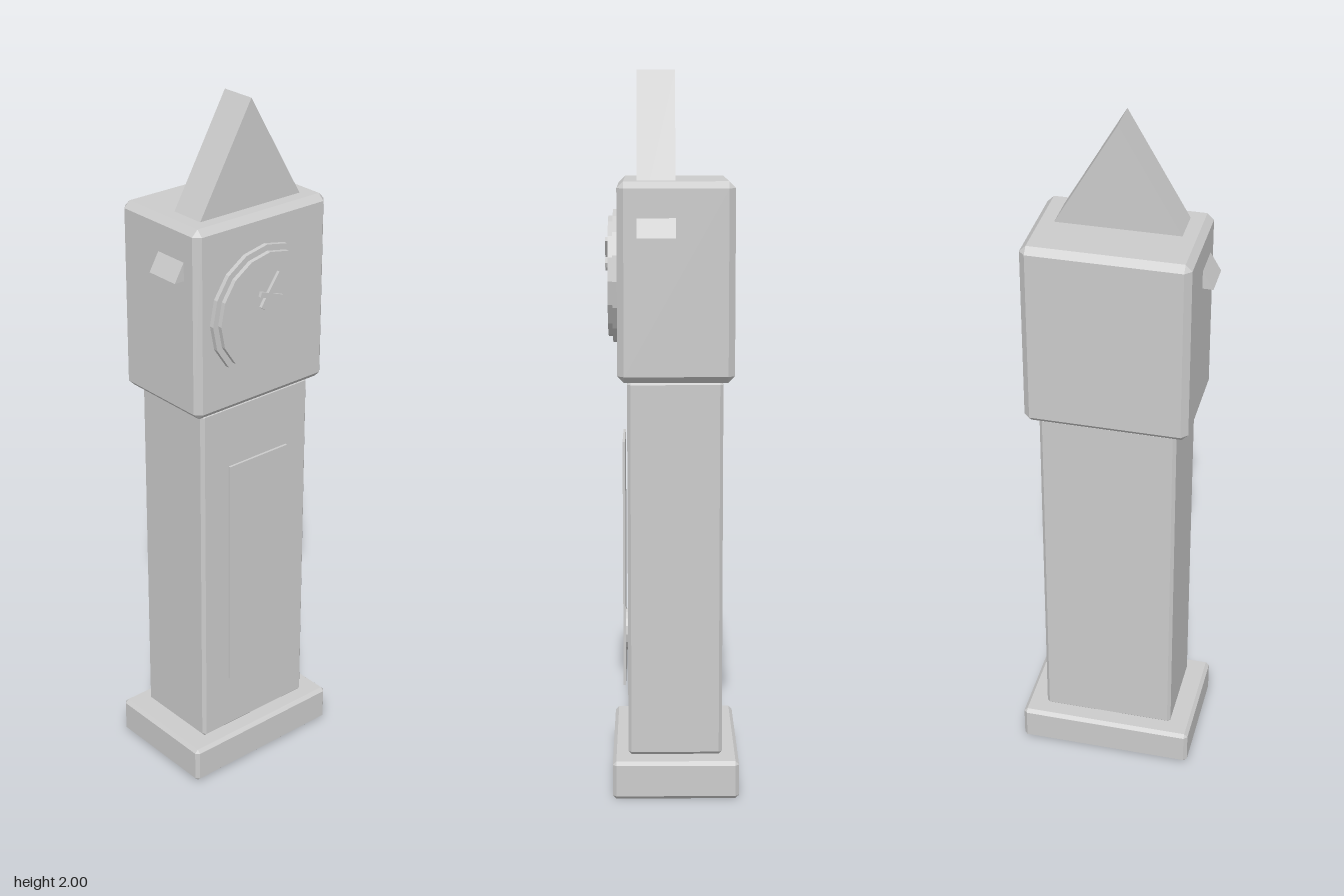
import * as THREE from 'three';
import { ConvexGeometry } from 'three/addons/geometries/ConvexGeometry.js';

const grey = new THREE.MeshStandardMaterial({ color: 0xcccccc, flatShading: true });

// Box with all edges cut at 45 degrees, given by its extents
function chamferBox(x, y0, y1, z0, z1, c) {
  const w = x, h = (y1 - y0) / 2, d = (z1 - z0) / 2;
  const points = [];
  for (const sx of [-1, 1]) for (const sy of [-1, 1]) for (const sz of [-1, 1]) {
    points.push(
      new THREE.Vector3(sx * w, sy * (h - c), sz * (d - c)),
      new THREE.Vector3(sx * (w - c), sy * h, sz * (d - c)),
      new THREE.Vector3(sx * (w - c), sy * (h - c), sz * d)
    );
  }
  return new ConvexGeometry(points).translate(0, (y0 + y1) / 2, (z0 + z1) / 2);
}

// Disc facing the front
function disc(radius, y, z0, z1, sides = 16) {
  return new THREE.CylinderGeometry(radius, radius, z1 - z0, sides)
    .rotateY(Math.PI / 2)
    .rotateX(Math.PI / 2)
    .translate(0, y, (z0 + z1) / 2);
}

// Clock hand lying between two points on the dial
function hand(x0, y0, x1, y1, width) {
  const length = Math.hypot(x1 - x0, y1 - y0);
  return new THREE.BoxGeometry(length, width, 0.013)
    .rotateZ(Math.atan2(y1 - y0, x1 - x0))
    .translate((x0 + x1) / 2, (y0 + y1) / 2, 0.1765);
}

export function createModel() {
  const clock = new THREE.Group();
  clock.name = 'longcaseClock';
  const add = (name, geometry) => {
    const mesh = new THREE.Mesh(geometry, grey);
    mesh.name = name;
    clock.add(mesh);
  };

  // Case
  add('base', chamferBox(0.254, 0, 0.108, -0.186, 0.165, 0.01));
  add('trunk', chamferBox(0.192, 0.108, 1.165, -0.14, 0.122, 0.009));
  add('hood', chamferBox(0.228, 1.165, 1.705, -0.17, 0.148, 0.018));

  // Triangular pediment, its lower corners poking out of the hood sides
  const gable = new THREE.Shape([
    new THREE.Vector2(-0.258, 1.557),
    new THREE.Vector2(0.258, 1.557),
    new THREE.Vector2(0, 2),
  ]);
  add('pediment', new THREE.ExtrudeGeometry(gable, { depth: 0.105, bevelEnabled: false })
    .translate(0, 0, -0.01));

  // Dial and hands
  add('dialRim', disc(0.185, 1.435, 0.13, 0.161));
  add('dial', disc(0.168, 1.435, 0.14, 0.174));
  add('minuteHand', hand(-0.031, 1.453, 0.031, 1.54, 0.016));
  add('hourHand', hand(-0.038, 1.495, 0.038, 1.468, 0.014));

  // Door panel with the pendulum bob behind it
  add('door', new THREE.BoxGeometry(0.21, 0.7, 0.007).translate(0, 0.635, 0.1325));
  add('pendulumBob', disc(0.06, 0.42, 0.115, 0.13));

  return clock;
}
